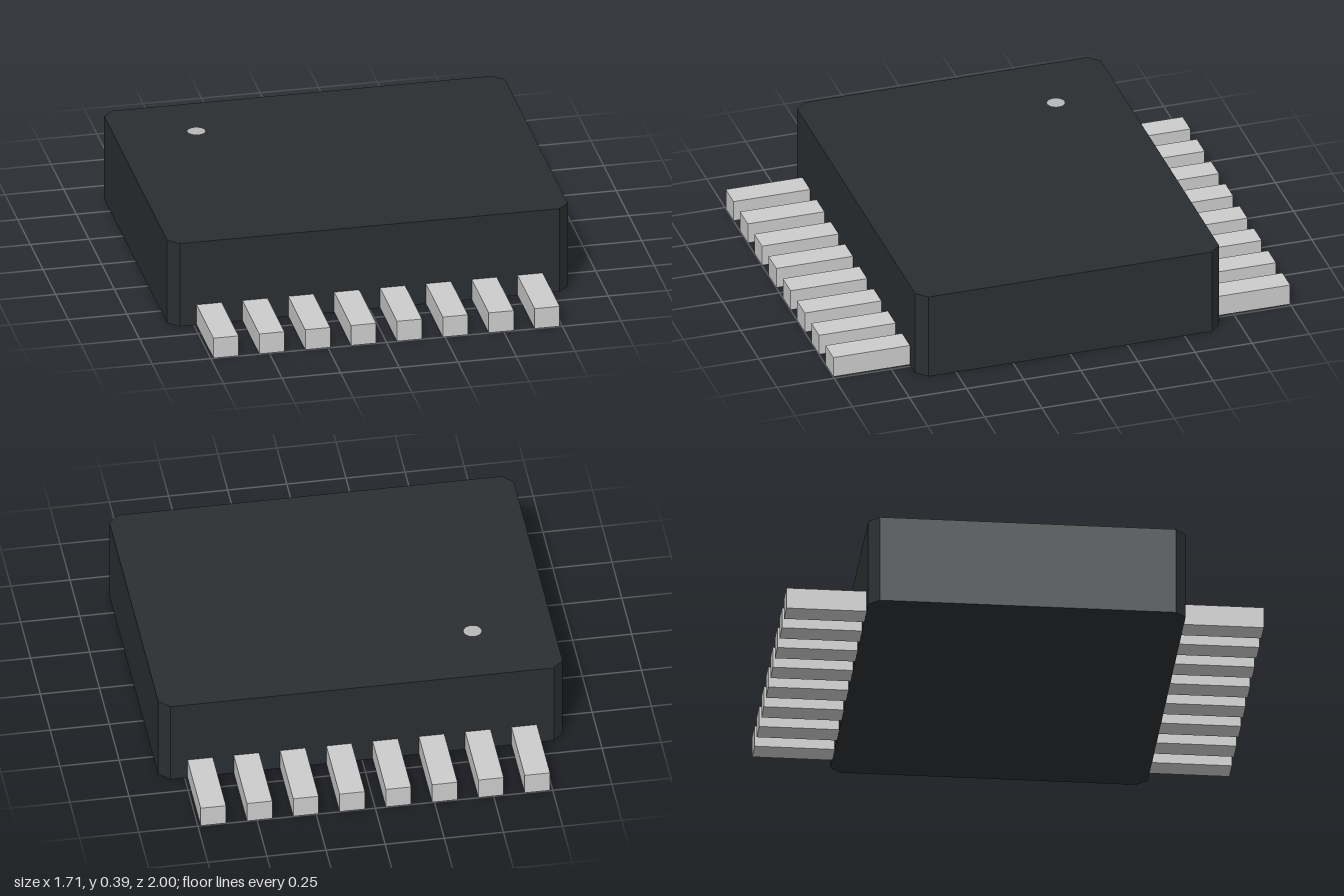
import * as THREE from 'three';

const BODY = { halfX: 0.855, halfZ: 0.665, height: 0.382, chamfer: 0.045 };
const LEAD = { count: 8, pitch: 0.1957, width: 0.107, height: 0.092, tip: 1, root: 0.64 };

// Rectangle with cut corners, extruded upwards from y = 0
function bodyGeometry({ halfX: x, halfZ: z, height, chamfer: c }) {
  const outline = new THREE.Shape([
    [x - c, -z], [x, -z + c], [x, z - c], [x - c, z],
    [-x + c, z], [-x, z - c], [-x, -z + c], [-x + c, -z],
  ].map(([px, py]) => new THREE.Vector2(px, py)));
  return new THREE.ExtrudeGeometry(outline, { depth: height, bevelEnabled: false }).rotateX(-Math.PI / 2);
}

export function createModel() {
  const model = new THREE.Group();
  model.name = 'chipPackage';

  const plastic = new THREE.MeshStandardMaterial({ color: 0x2b2e31 });
  const metal = new THREE.MeshStandardMaterial({ color: 0xcccccc });
  const paint = new THREE.MeshStandardMaterial({ color: 0xb8b8b8, side: THREE.DoubleSide });

  // Chamfered package body
  const body = new THREE.Mesh(bodyGeometry(BODY), plastic);
  body.name = 'body';
  model.add(body);

  // Straight leads in a row along the front and the back
  const leadLength = LEAD.tip - LEAD.root;
  const leadGeometry = new THREE.BoxGeometry(LEAD.width, LEAD.height, leadLength);
  for (const [side, name] of [[1, 'frontLead'], [-1, 'backLead']]) {
    const row = new THREE.Group();
    row.name = name + 'Row';
    for (let i = 0; i < LEAD.count; i++) {
      const lead = new THREE.Mesh(leadGeometry, metal);
      lead.name = name + (i + 1);
      lead.position.set(
        (i - (LEAD.count - 1) / 2) * LEAD.pitch,
        LEAD.height / 2 + 0.001, // keeps the buried root clear of the body's underside
        side * (LEAD.tip - leadLength / 2),
      );
      row.add(lead);
    }
    model.add(row);
  }

  // Flat orientation dot just above the top face
  const dot = new THREE.Mesh(new THREE.CircleGeometry(0.039, 32).rotateX(-Math.PI / 2), paint);
  dot.name = 'orientationDot';
  dot.position.set(-0.515, 0.393, -0.374);
  model.add(dot);

  return model;
}
